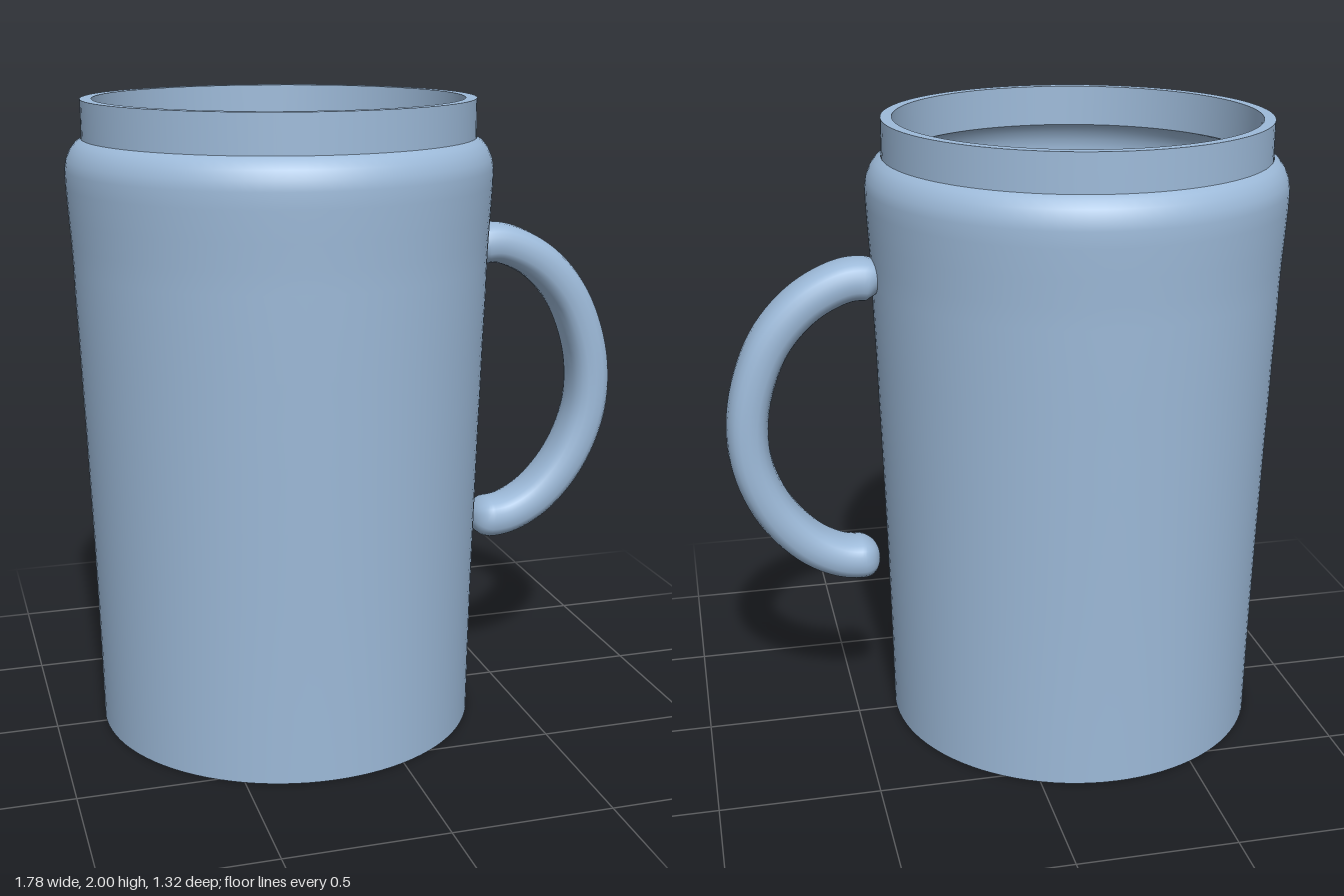
import * as THREE from 'three';

const AXIS_X = -0.235; // the cup's axis, offset to leave room for the handle

export function createModel() {
  const model = new THREE.Group();
  model.name = 'mug';
  const blue = new THREE.MeshStandardMaterial({ color: 0x9dbad9 });
  blue.name = 'soft blue';

  const cup = new THREE.Group();
  cup.name = 'cup';
  cup.position.x = AXIS_X;
  model.add(cup);

  // One turned surface per smooth stretch, so edges between them stay sharp
  const turn = (name, points) => {
    const profile = points.map(([r, y]) => new THREE.Vector2(r, y));
    const mesh = new THREE.Mesh(new THREE.LatheGeometry(profile, 96), blue);
    mesh.name = name;
    cup.add(mesh);
  };

  // Tapered wall with faint ripples and a rounded shoulder
  const wall = [
    [0.605, 0], [0.608, 0.2], [0.612, 0.4], [0.617, 0.6], [0.623, 0.8],
    [0.629, 1], [0.632, 1.08], [0.637, 1.25], [0.643, 1.4], [0.645, 1.5],
    [0.648, 1.57], [0.653, 1.65], [0.658, 1.74], [0.659, 1.79],
    [0.654, 1.82], [0.642, 1.848], [0.625, 1.87], [0.606, 1.882],
  ];
  turn('outerWall', wall);
  turn('neck', [[0.605, 1.88], [0.605, 2]]);
  turn('rim', [[0.605, 2], [0.57, 2]]);
  turn('neckInside', [[0.57, 2], [0.57, 1.87]]);

  // Inside follows the outer wall at a constant thickness
  const inner = wall.slice(1, -1).map(([r, y]) => [r - 0.035, y - 0.01]).reverse();
  inner.push([0.57, 0.04]);
  turn('innerWall', [[0.57, 1.87], ...inner]);
  turn('innerFloor', [[0.57, 0.04], [0, 0.04]]);
  turn('base', [[0, 0], [0.605, 0]]);

  const handle = new THREE.Mesh(handleGeometry(), blue);
  handle.name = 'handle';
  model.add(handle);
  return model;
}

// Flattened round bar swept along an arc, with rounded free ends
function handleGeometry() {
  const path = new THREE.CatmullRomCurve3([
    [0.385, 1.5], [0.43, 1.518], [0.5, 1.517], [0.625, 1.457], [0.735, 1.34],
    [0.803, 1.18], [0.823, 1.04], [0.808, 0.91], [0.745, 0.765],
    [0.645, 0.65], [0.55, 0.596], [0.48, 0.583], [0.415, 0.59],
  ].map(([x, y]) => new THREE.Vector3(x, y, 0)));
  const length = path.getLength();
  const rings = 72, sides = 20, capLength = 0.06;
  const positions = [], index = [];
  const power = (v) => Math.sign(v) * Math.abs(v) ** 0.8;

  // Rings are packed closer together at both ends to round the caps
  for (let i = 0; i <= rings; i++) {
    const t = (1 - Math.cos((Math.PI * i) / rings)) / 2;
    const c = path.getPointAt(t), d = path.getTangentAt(t);
    const s = Math.min(1, (Math.min(t, 1 - t) * length) / capLength);
    const k = Math.max(0.001, Math.sqrt(Math.max(0, 1 - (1 - s) ** 2)));
    for (let j = 0; j < sides; j++) {
      const a = (2 * Math.PI * j) / sides;
      const n = 0.066 * k * power(Math.cos(a));
      const z = 0.088 * k * power(Math.sin(a));
      positions.push(c.x - d.y * n, c.y + d.x * n, z);
      if (i < rings) {
        const p = i * sides + j, q = i * sides + ((j + 1) % sides);
        index.push(p, q, p + sides, q, q + sides, p + sides);
      }
    }
  }
  const geometry = new THREE.BufferGeometry();
  geometry.setAttribute('position', new THREE.Float32BufferAttribute(positions, 3));
  geometry.setIndex(index);
  geometry.computeVertexNormals();
  return geometry;
}
